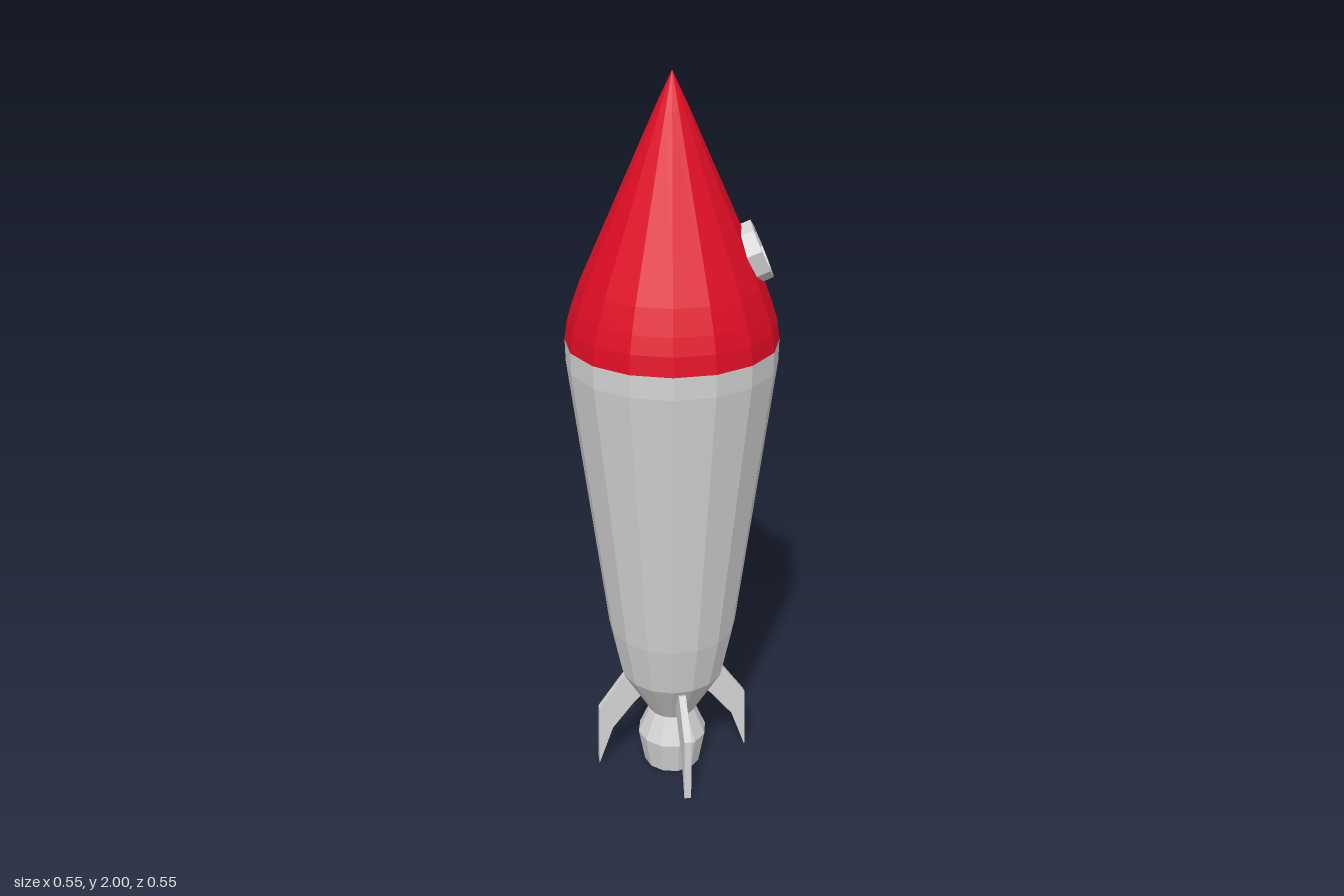
import * as THREE from 'three';

const paint = (name, color) => {
  const m = new THREE.MeshStandardMaterial({ color });
  m.name = name;
  return m;
};

// faceted surface of revolution from [radius, y] points, listed bottom to top
function turned(name, points, sides, phi, material, scale = 1) {
  const profile = points.map(([r, y]) => new THREE.Vector2(r * scale, y));
  const geometry = new THREE.LatheGeometry(profile, sides, phi).toNonIndexed();
  geometry.computeVertexNormals();
  const mesh = new THREE.Mesh(geometry, material);
  mesh.name = name;
  return mesh;
}

export function createModel() {
  const grey = paint('light grey', 0xd4d4d4);
  const red = paint('red', 0xe00d25);
  const blue = paint('window blue', 0x8acbe2);
  const rocket = new THREE.Group();
  rocket.name = 'rocket';

  // sixteen-sided hull, flat sides facing the axes
  const half = Math.PI / 16;
  const grow = 1 / Math.cos(half);
  rocket.add(turned('hull', [
    [0, 0.18], [0.065, 0.18], [0.145, 0.32], [0.175, 0.47], [0.272, 1.26], [0.273, 1.32],
  ], 16, half, grey, grow));
  rocket.add(turned('noseCone', [
    [0.273, 1.32], [0.266, 1.37], [0.253, 1.415], [0.23, 1.48], [0.042, 1.91], [0, 2],
  ], 16, half, red, grow));

  // engine nozzle
  rocket.add(turned('nozzle', [
    [0, 0], [0.082, 0], [0.1, 0.1], [0.066, 0.18], [0, 0.18],
  ], 12, 0, grey));

  // four swept fins
  const outline = new THREE.Shape([
    [0.09, 0.235], [0.115, 0.21], [0.178, 0.13], [0.22, 0.01], [0.217, 0.2], [0.143, 0.305], [0.12, 0.3],
  ].map(([x, y]) => new THREE.Vector2(x, y)));
  const finGeometry = new THREE.ExtrudeGeometry(outline, { depth: 0.02, bevelEnabled: false });
  finGeometry.translate(0, 0, -0.01);
  for (let i = 0; i < 4; i++) {
    const fin = new THREE.Mesh(finGeometry, grey);
    fin.name = 'fin' + (i + 1);
    fin.rotation.y = i * Math.PI / 2;
    rocket.add(fin);
  }

  // porthole lying on the slope of the nose
  const porthole = new THREE.Group();
  porthole.name = 'porthole';
  const eighth = Math.PI / 8;
  porthole.add(turned('portholeRim', [
    [0.058, -0.02], [0.078, -0.02], [0.078, 0.025], [0.058, 0.025], [0.058, -0.02],
  ], 8, eighth, grey));
  porthole.add(turned('portholeGlass', [[0.059, 0.008], [0, 0.008]], 8, eighth, blue));
  const angle = Math.PI / 16;
  porthole.position.set(0.2, 1.55, 0.04);
  porthole.quaternion.setFromUnitVectors(
    new THREE.Vector3(0, 1, 0),
    new THREE.Vector3(Math.cos(angle), 0.437, Math.sin(angle)).normalize());
  rocket.add(porthole);

  return rocket;
}
